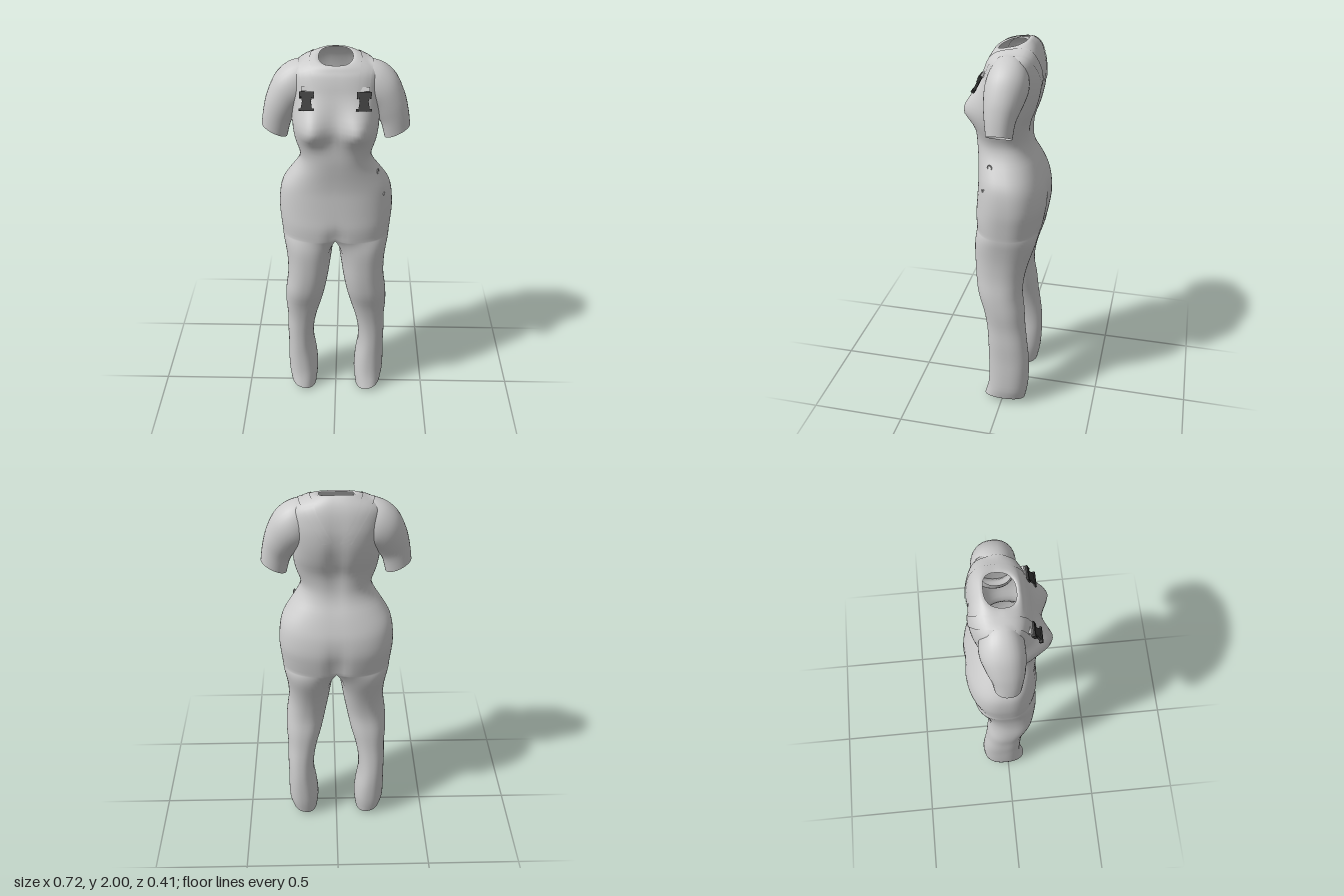
import * as THREE from 'three';
import { mergeGeometries, mergeVertices } from 'three/addons/utils/BufferGeometryUtils.js';

const fabric = new THREE.MeshStandardMaterial({ color: 0xcccccc, side: THREE.DoubleSide });
fabric.name = 'light grey fabric';
const plastic = new THREE.MeshStandardMaterial({ color: 0x333333 });
plastic.name = 'dark buckle';

const V = (x, y, z) => new THREE.Vector3(x, y, z);
const pow = (v, e) => Math.sign(v) * Math.pow(Math.abs(v), e);
const gauss = (d, s) => Math.exp(-0.5 * (d / s) ** 2);
const rad = THREE.MathUtils.degToRad;

// Smoothly resample a table of section measurements
function resample(rows, steps) {
  const out = [], n = rows.length - 1;
  for (let k = 0; k <= n * steps; k++) {
    const i = Math.min(Math.floor(k / steps), n - 1), t = k / steps - i;
    const a = rows[Math.max(i - 1, 0)], b = rows[i], c = rows[i + 1], d = rows[Math.min(i + 2, n)];
    out.push(b.map((p, q) => {
      const m0 = (c[q] - a[q]) / 2, m1 = (d[q] - p) / 2;
      return (2 * t ** 3 - 3 * t * t + 1) * p + (t ** 3 - 2 * t * t + t) * m0
        + (3 * t * t - 2 * t ** 3) * c[q] + (t ** 3 - t * t) * m1;
    }));
  }
  return out;
}

// Skin a stack of point rows, listed from bottom to top
function loft(rows, closed) {
  const n = rows[0].length, index = [];
  for (let i = 0; i < rows.length - 1; i++) {
    for (let j = 0; j < (closed ? n : n - 1); j++) {
      const k = (j + 1) % n;
      const a = i * n + j, b = i * n + k, c = a + n, d = b + n;
      index.push(a, b, c, b, d, c);
    }
  }
  const g = new THREE.BufferGeometry().setFromPoints(rows.flat());
  g.setIndex(index);
  return g;
}

function mirrored(g) {
  const m = g.clone().scale(-1, 1, 1), ix = m.index.array;
  for (let i = 0; i < ix.length; i += 3) [ix[i], ix[i + 1]] = [ix[i + 1], ix[i]];
  return m;
}

function weld(parts) {
  const g = mergeVertices(mergeGeometries(parts), 1e-4);
  g.computeVertexNormals();
  return g;
}

// Torso sections: height, half width, front z, back z, drop at the front
const torsoRows = [
  [1.06, 0.275, 0.155, -0.185, 0], [1.13, 0.282, 0.158, -0.198, 0], [1.2, 0.287, 0.152, -0.205, 0],
  [1.28, 0.282, 0.146, -0.195, 0], [1.34, 0.266, 0.143, -0.175, 0], [1.4, 0.228, 0.146, -0.15, 0],
  [1.46, 0.188, 0.152, -0.122, 0], [1.52, 0.173, 0.157, -0.11, 0], [1.6, 0.197, 0.158, -0.115, 0],
  [1.68, 0.208, 0.16, -0.143, 0], [1.76, 0.208, 0.14, -0.162, 0], [1.83, 0.212, 0.118, -0.166, 0],
  [1.88, 0.213, 0.105, -0.16, 0.003], [1.92, 0.205, 0.092, -0.15, 0.007],
  [1.946, 0.18, 0.08, -0.138, 0.012], [1.966, 0.14, 0.07, -0.123, 0.016],
  [1.979, 0.1, 0.059, -0.104, 0.021], [1.977, 0.08, 0.05, -0.09, 0.023],
];

// Leg sections: height, blend from crotch, inner x, outer x, front z, back z
const legRows = [
  [0.02, 1, 0.115, 0.258, 0.1, -0.125], [0.1, 1, 0.105, 0.27, 0.08, -0.14],
  [0.2, 1, 0.112, 0.272, 0.073, -0.146], [0.3, 1, 0.126, 0.27, 0.073, -0.145],
  [0.4, 1, 0.124, 0.271, 0.075, -0.135], [0.5, 1, 0.107, 0.268, 0.083, -0.122],
  [0.6, 1, 0.08, 0.273, 0.102, -0.113], [0.7, 1, 0.058, 0.268, 0.132, -0.1],
  [0.8, 1, 0.04, 0.255, 0.145, -0.11], [0.9, 0.97, 0.026, 0.255, 0.15, -0.135],
  [0.98, 0.75, 0.018, 0.262, 0.155, -0.16], [1.03, 0.38, 0.012, 0.27, 0.156, -0.175],
  [1.06, 0, 0.008, 0.275, 0.155, -0.185],
];

const N = 40, M = 14, SPLIT = 140;

function torsoPoint([y, hw, zf, zb, drop], a) {
  const s = Math.sin(a), x = hw * pow(Math.max(Math.cos(a), 0), 0.8);
  let z = (zf + zb) / 2 + (zf - zb) / 2 * pow(s, 0.8);
  if (s > 0) { // bust and front crease
    z += s * 0.066 * gauss(x - 0.125, 0.055) * gauss(y - 1.67, y > 1.67 ? 0.075 : 0.045);
    z -= 0.02 * gauss(x, 0.03) * gauss(y - 1.06, 0.05);
  } else { // seat crease and spine hollow
    z += 0.022 * gauss(x, 0.03) * gauss(y - 1.1, 0.09);
    z += 0.014 * gauss(x, 0.03) * gauss(y - 1.68, 0.14);
  }
  return V(x, y - drop * s, z);
}

function legRing([y, s, xi, xo, zf, zb]) {
  const ring = [];
  for (let j = 0; j < N + M; j++) {
    const outer = j <= N, k = (j - N) / M;
    const a = rad(outer ? SPLIT - 2 * SPLIT * j / N : -SPLIT - (360 - 2 * SPLIT) * k);
    const leg = V((xi + xo) / 2 + (xo - xi) / 2 * pow(Math.cos(a), 0.88),
      y + 0.025 * Math.cos(a) * Math.max(0, 1 - y / 0.1),
      (zf + zb) / 2 + (zf - zb) / 2 * pow(Math.sin(a), 0.88));
    const back = torsoPoint(torsoRows[0], -Math.PI / 2), front = torsoPoint(torsoRows[0], Math.PI / 2);
    const top = outer ? torsoPoint(torsoRows[0], rad(90 - 180 * j / N)) : back.lerp(front, k);
    top.y = y;
    ring.push(top.lerp(leg, s));
  }
  return ring;
}

// Sleeve sections, hem first: outer x and y, inner x and y, front z, back z
const sleeveRows = [
  [0.358, 1.645, 0.236, 1.582, 0.048, -0.075], [0.347, 1.72, 0.218, 1.65, 0.058, -0.085],
  [0.327, 1.8, 0.195, 1.69, 0.066, -0.105], [0.287, 1.885, 0.172, 1.72, 0.07, -0.125],
  [0.235, 1.935, 0.14, 1.74, 0.068, -0.13], [0.18, 1.958, 0.11, 1.77, 0.058, -0.118],
  [0.13, 1.962, 0.095, 1.83, 0.04, -0.09],
];

function sleeveRing([xo, yo, xi, yi, zf, zb]) {
  return Array.from({ length: 32 }, (_, j) => {
    const a = Math.PI / 2 - j / 32 * Math.PI * 2, c = Math.cos(a);
    return V((xo + xi) / 2 + (xo - xi) / 2 * c, (yo + yi) / 2 + (yo - yi) / 2 * c,
      (zf + zb) / 2 + (zf - zb) / 2 * pow(Math.sin(a), 0.9));
  });
}

function buckle() {
  const g = new THREE.Group();
  const add = (w, h, d, x, y, z, mat = plastic) => {
    const m = new THREE.Mesh(new THREE.BoxGeometry(w, h, d), mat);
    m.position.set(x, y, z);
    g.add(m);
  };
  // Waisted clip body between two bars
  const s = new THREE.Shape();
  s.moveTo(-0.03, 0.03).lineTo(0.03, 0.03).lineTo(0.02, -0.005).lineTo(0.026, -0.04)
    .lineTo(-0.026, -0.04).lineTo(-0.02, -0.005).closePath();
  g.add(new THREE.Mesh(new THREE.ExtrudeGeometry(s, { depth: 0.012, bevelEnabled: false }), plastic));
  add(0.068, 0.012, 0.018, 0, 0.032, 0.008);
  add(0.072, 0.011, 0.016, 0, -0.044, 0.007);
  for (const x of [-0.03, 0.03]) add(0.008, 0.022, 0.014, x, 0.018, 0.007);
  add(0.05, 0.02, 0.012, 0, 0.05, 0.004, fabric);
  return g;
}

export function createModel() {
  const model = new THREE.Group();
  const add = (name, geo, mat = fabric) => {
    const m = new THREE.Mesh(geo, mat);
    m.name = name;
    model.add(m);
    return m;
  };

  // Body and trouser legs as one welded skin
  const arc = Array.from({ length: N + 1 }, (_, j) => rad(90 - 180 * j / N));
  const torso = loft(resample(torsoRows, 3).map(r => arc.map(a => torsoPoint(r, a))), false);
  const leg = loft(resample(legRows, 3).map(legRing), true);
  const body = add('bodyAndTrousers', weld([torso, leg, mirrored(torso), mirrored(leg)]));

  // Short sleeves
  const sleeve = loft(resample(sleeveRows, 4).map(sleeveRing), true);
  const leftSleeve = add('leftSleeve', weld([sleeve]));
  const rightSleeve = add('rightSleeve', weld([mirrored(sleeve)]));
  const cloth = [body, leftSleeve, rightSleeve];

  // First cloth point met when looking inward along a direction
  const onCloth = (centre, dir, lift) => {
    const ray = new THREE.Raycaster(centre.clone().addScaledVector(dir, 1), dir.clone().negate());
    const hit = ray.intersectObjects(cloth)[0];
    return (hit ? hit.point : centre.clone()).addScaledVector(dir, lift);
  };

  // Straps over the shoulders: angle from the front, centre x
  const strapPath = resample([[12, 0.13], [45, 0.137], [85, 0.147], [125, 0.125], [155, 0.085], [190, 0.04]], 6);
  const strap = loft([-1, -0.5, 0, 0.5, 1].map(e => strapPath.map(([deg, x]) => {
    const dir = V(0, Math.sin(rad(deg)), Math.cos(rad(deg)));
    return onCloth(V(x + e * 0.027, 1.82, -0.03), dir, 0.004);
  })), false);
  add('leftStrap', weld([strap]));
  add('rightStrap', weld([mirrored(strap)]));

  // Chest buckles
  for (const side of [1, -1]) {
    const b = buckle();
    b.name = side > 0 ? 'leftBuckle' : 'rightBuckle';
    b.position.copy(onCloth(V(side * 0.132, 1.815, 0), V(0, 0, 1), 0.004));
    b.rotation.x = -0.48;
    model.add(b);
  }

  // Side buttons at the left hip
  for (const [y, z, r] of [[1.42, 0.05, 0.012], [1.31, 0.065, 0.006]]) {
    const dir = V(0.95, 0, 0.3).normalize();
    const button = add('hipButton', new THREE.TorusGeometry(r, 0.003, 6, 16));
    button.position.copy(onCloth(V(0, y, z - 0.06), dir, 0.001));
    button.quaternion.setFromUnitVectors(V(0, 0, 1), dir);
  }
  return model;
}
